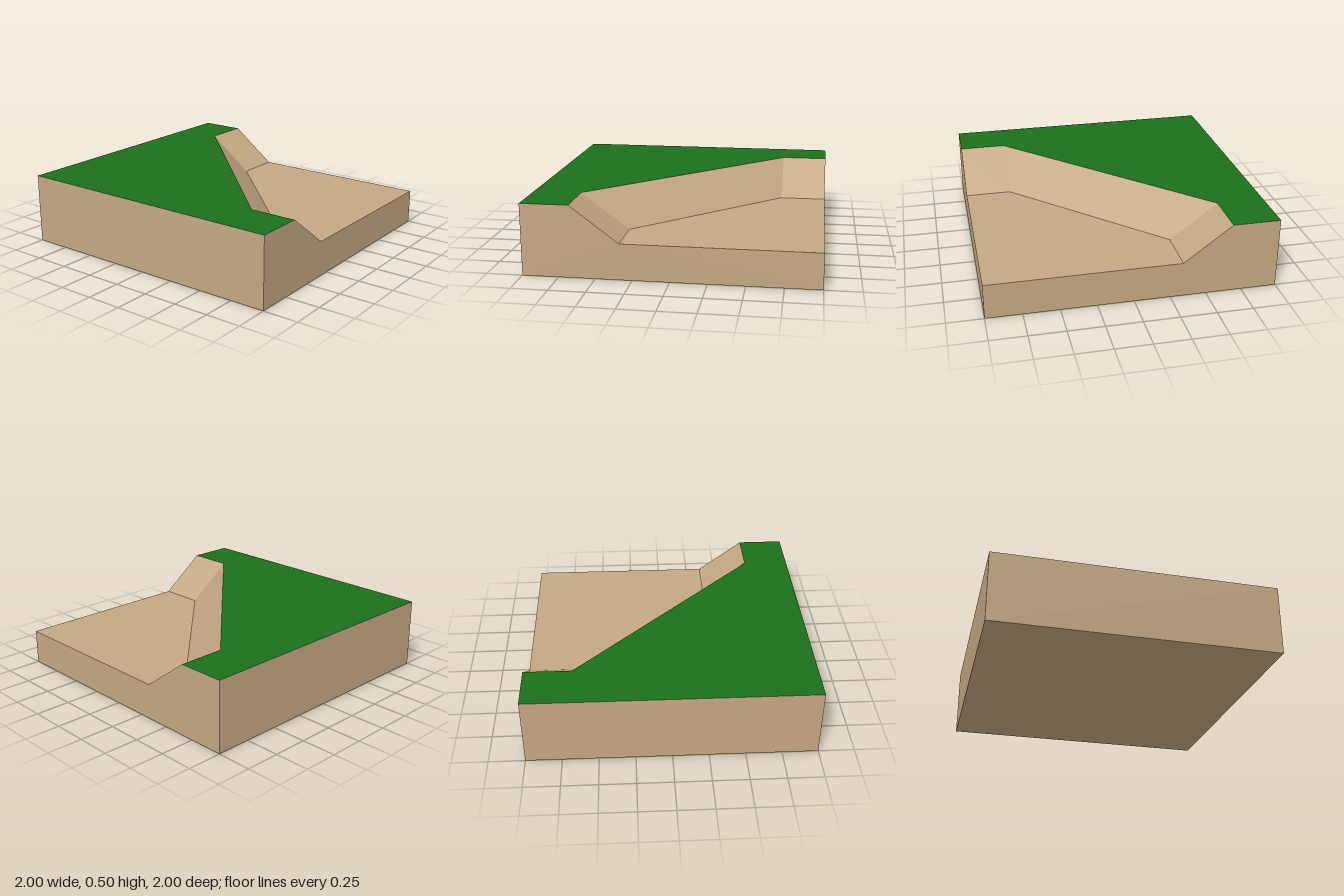
import * as THREE from 'three';

const TOP = 0.5, LOW = 0.25, A = 2 / 3, B = 1 / 3;

// Flat faces: each face is a list of [x, y, z] corners, fanned from its first corner
function facesMesh(name, color, faces) {
  const positions = [];
  for (const f of faces) {
    for (let i = 1; i < f.length - 1; i++) positions.push(...f[0], ...f[i], ...f[i + 1]);
  }
  const geometry = new THREE.BufferGeometry();
  geometry.setAttribute('position', new THREE.Float32BufferAttribute(positions, 3));
  geometry.computeVertexNormals();
  const mesh = new THREE.Mesh(geometry, new THREE.MeshStandardMaterial({ color, flatShading: true }));
  mesh.name = name;
  return mesh;
}

export function createModel() {
  const group = new THREE.Group();
  group.name = 'cliffCornerTile';
  const earth = 0xc4a882, green = 0x1b701b;

  // Upper rim and foot of the bank, as [x, z]
  const rim = [[-A, 1], [-A, A], [A, -A], [1, -A]];
  const foot = [[-B, 1], [-B, A], [A, -B], [1, -B]];
  const at = (y) => ([x, z]) => [x, y, z];

  // Grass on the high ground
  group.add(facesMesh('grassTop', green, [[[-1, -1], [-1, 1], ...rim, [1, -1]].map(at(TOP))]));

  // Low ground in front of the bank
  group.add(facesMesh('lowerGround', earth, [[[1, 1], ...[...foot].reverse()].map(at(LOW))]));

  // Sloping bank, one quad per segment
  const slopes = [0, 1, 2].map((i) => [
    at(TOP)(rim[i]), at(LOW)(foot[i]), at(LOW)(foot[i + 1]), at(TOP)(rim[i + 1]),
  ]);
  group.add(facesMesh('slopedBank', earth, slopes));

  // Side walls: the stepped section shows on the front and, mirrored, on the +x side
  const section = [[-B, LOW], [-A, TOP], [-1, TOP], [-1, 0], [1, 0], [1, LOW]];
  const mirrored = [section[0], ...section.slice(1).reverse()];
  group.add(facesMesh('earthWalls', earth, [
    section.map(([u, y]) => [u, y, 1]),
    mirrored.map(([u, y]) => [1, y, u]),
    [[1, 0, -1], [-1, 0, -1], [-1, TOP, -1], [1, TOP, -1]],
    [[-1, 0, -1], [-1, 0, 1], [-1, TOP, 1], [-1, TOP, -1]],
  ]));

  // Underside
  group.add(facesMesh('underside', earth, [[[-1, 0, -1], [1, 0, -1], [1, 0, 1], [-1, 0, 1]]]));

  return group;
}
